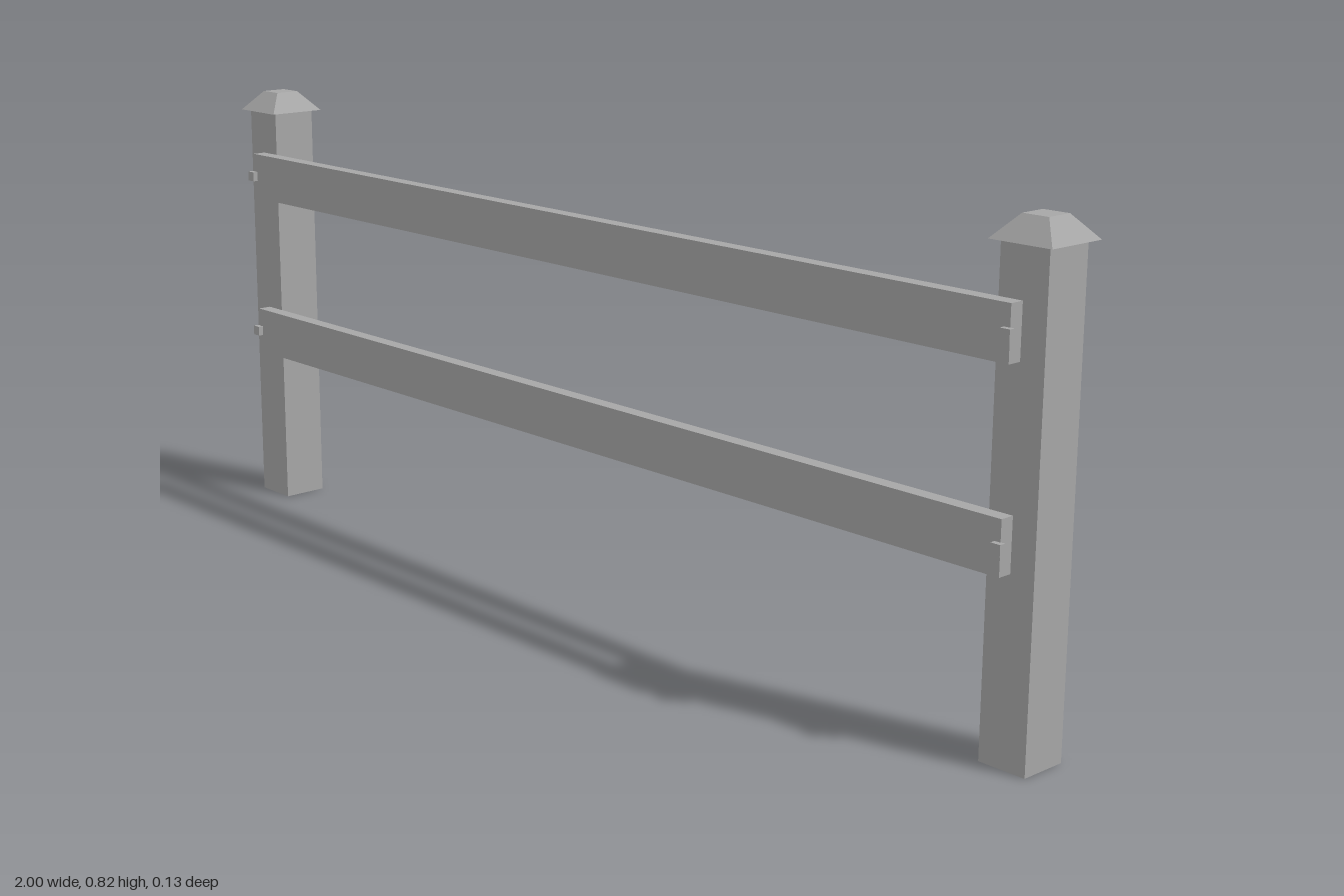
import * as THREE from 'three';

export function createModel() {
  const model = new THREE.Group();
  model.name = 'fence';

  const grey = new THREE.MeshStandardMaterial({ color: 0xa6a6a6 });
  grey.name = 'grey';

  const POST_X = 0.944, POST_Z = -0.01, POST_W = 0.086, POST_H = 0.787;

  function add(parent, name, geometry, x, y, z) {
    const mesh = new THREE.Mesh(geometry, grey);
    mesh.name = name;
    mesh.position.set(x, y, z);
    parent.add(mesh);
  }

  // Box whose top face is narrowed to make a truncated pyramid
  function capGeometry(bottom, top, height) {
    const geometry = new THREE.BoxGeometry(bottom, height, bottom).toNonIndexed();
    const p = geometry.attributes.position;
    for (let i = 0; i < p.count; i++) {
      if (p.getY(i) > 0) {
        p.setX(i, p.getX(i) * top / bottom);
        p.setZ(i, p.getZ(i) * top / bottom);
      }
    }
    geometry.computeVertexNormals();
    return geometry;
  }

  const postGeometry = new THREE.BoxGeometry(POST_W, POST_H, POST_W);
  const capShape = capGeometry(0.112, 0.047, 0.037);
  const railGeometry = new THREE.BoxGeometry(POST_X * 2, 0.088, 0.026);
  const boltGeometry = new THREE.BoxGeometry(0.018, 0.018, 0.011);

  // Capped posts at both ends
  for (const [side, label] of [[1, 'left'], [-1, 'right']]) {
    const post = new THREE.Group();
    post.name = label + 'Post';
    add(post, 'postShaft', postGeometry, side * POST_X, POST_H / 2, POST_Z);
    add(post, 'postCap', capShape, side * POST_X, POST_H + 0.0185, POST_Z);
    model.add(post);
  }

  // Rails on the front of the posts, with a bolt at each end
  for (const [y, label] of [[0.661, 'upper'], [0.347, 'lower']]) {
    const rail = new THREE.Group();
    rail.name = label + 'Rail';
    add(rail, 'railBoard', railGeometry, 0, y, 0.0455);
    for (const side of [1, -1]) add(rail, 'bolt', boltGeometry, side * 0.942, y, 0.0625);
    model.add(rail);
  }

  return model;
}
